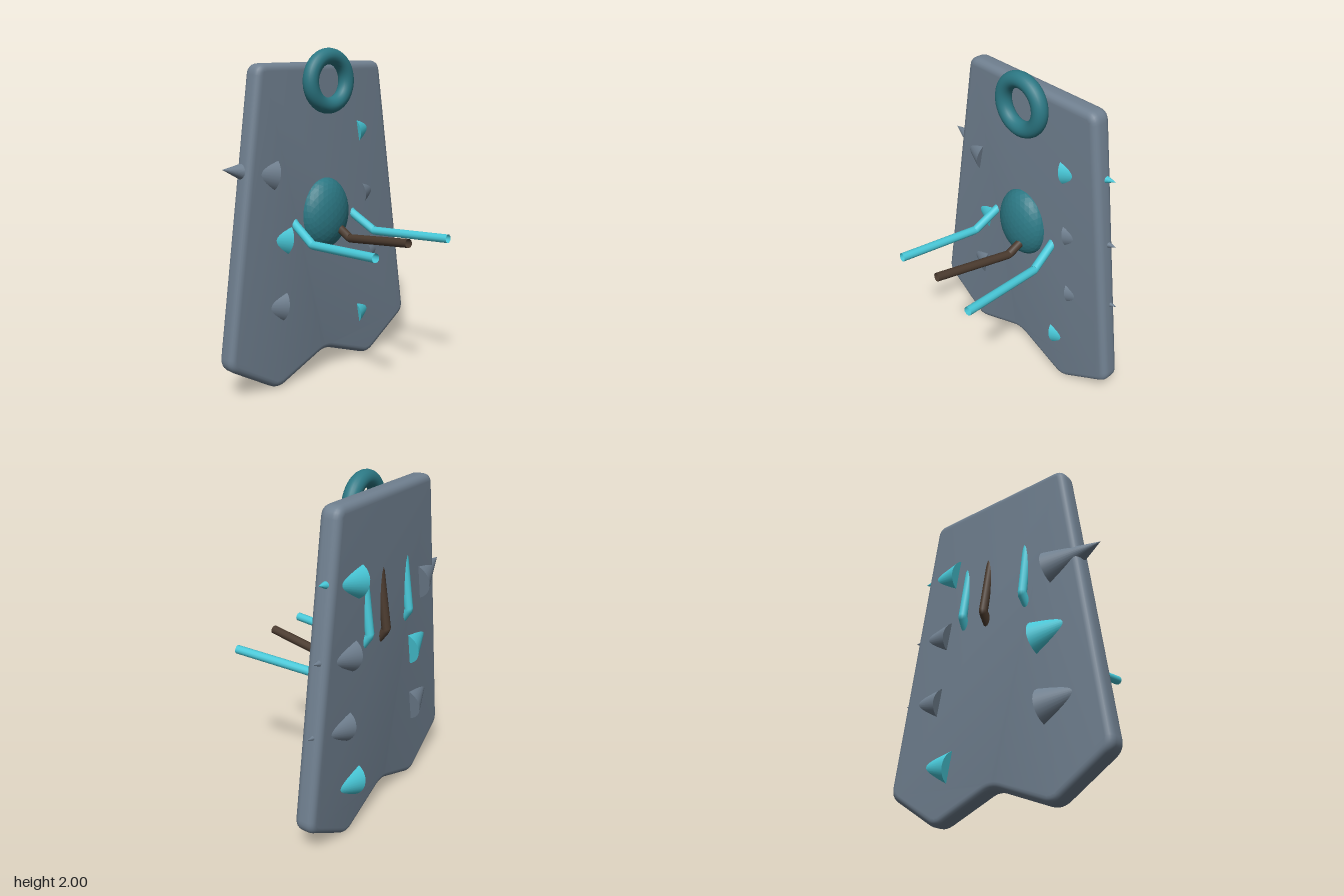
import * as THREE from 'three';
import { toCreasedNormals } from 'three/addons/utils/BufferGeometryUtils.js';

const mat = (color, extra = {}) => new THREE.MeshStandardMaterial({ color, ...extra });
const slate = mat(0x708090);
const darkTeal = mat(0x2c7884);
const facetedTeal = mat(0x2c7884, { flatShading: true });
const cyan = mat(0x48c8d8);
const cyanTube = mat(0x48c8d8, { side: THREE.DoubleSide });
const brownTube = mat(0x4a3a2e, { side: THREE.DoubleSide });

// Closed shape whose corners are softened by cutting back a distance c
function roundedShape(points, c) {
  const shape = new THREE.Shape();
  const v = points.map(p => new THREE.Vector2(...p));
  v.forEach((p, i) => {
    const prev = v[(i + v.length - 1) % v.length], next = v[(i + 1) % v.length];
    const a = p.clone().add(prev.clone().sub(p).setLength(c));
    const b = p.clone().add(next.clone().sub(p).setLength(c));
    if (i === 0) shape.moveTo(a.x, a.y); else shape.lineTo(a.x, a.y);
    shape.quadraticCurveTo(p.x, p.y, b.x, b.y);
  });
  shape.closePath();
  return shape;
}

export function createModel() {
  const group = new THREE.Group();
  const add = (name, geometry, material) => {
    const mesh = new THREE.Mesh(geometry, material);
    mesh.name = name;
    group.add(mesh);
    return mesh;
  };

  // Tapered plate with a notched lower edge
  const outline = [[-0.75, 0.215], [-0.39, -0.012], [0, 0.143], [0.39, -0.012],
    [0.75, 0.215], [0.485, 1.92], [-0.485, 1.92]];
  const bevel = 0.04;
  const plate = new THREE.ExtrudeGeometry(roundedShape(outline, 0.06), {
    depth: 0.12 - 2 * bevel, bevelEnabled: true, bevelSize: bevel, bevelThickness: bevel,
    bevelOffset: -bevel, bevelSegments: 5, curveSegments: 6,
  });
  plate.translate(0, 0, -0.38 + bevel);
  add('plate', toCreasedNormals(plate, 0.6), slate);

  // Ring at the top
  add('topRing', new THREE.TorusGeometry(0.142, 0.047, 20, 56), darkTeal)
    .position.set(0, 1.812, -0.22);

  // Faceted oval boss in the middle
  const boss = add('centreBoss', new THREE.IcosahedronGeometry(1, 5), facetedTeal);
  boss.scale.set(0.18, 0.22, 0.11);
  boss.position.set(0, 1.02, -0.27);

  // Spikes running outward through the plate: base x, y, radius, material
  const spikes = [
    [0.285, 1.497, 0.1, cyan], [0.337, 1.1, 0.096, slate],
    [0.388, 0.7, 0.094, slate], [0.288, 0.305, 0.1, cyan],
    [-0.378, 1.297, 0.113, slate], [-0.287, 0.9, 0.11, cyan], [-0.333, 0.503, 0.113, slate],
  ];
  const length = 0.325, tilt = 0.19;
  for (const [x, y, r, material] of spikes) {
    const side = Math.sign(x);
    const geometry = new THREE.ConeGeometry(r, length, 32).translate(0, length / 2, 0);
    const spike = add(side > 0 ? 'leftSpike' : 'rightSpike', geometry, material);
    spike.position.set(x, y, -0.335);
    spike.rotation.z = -side * (Math.PI / 2 - tilt);
  }

  // Bent tubes that pass through the plate and lean against its back
  function bentTube(name, points, material) {
    const path = new THREE.CurvePath();
    const v = points.map(p => new THREE.Vector3(...p));
    for (let i = 1; i < v.length; i++) path.add(new THREE.LineCurve3(v[i - 1], v[i]));
    add(name, new THREE.TubeGeometry(path, 90, 0.026, 12, false), material);
  }
  bentTube('leftTube', [[0.312, 0.925, 0.44], [0.265, 0.89, -0.1], [0.24, 0.985, -0.27],
    [0.217, 1.18, -0.4], [0.215, 1.52, -0.352]], cyanTube);
  bentTube('rightTube', [[-0.295, 0.93, 0.43], [-0.255, 0.895, -0.1], [-0.24, 0.99, -0.27],
    [-0.222, 1.18, -0.4], [-0.22, 1.52, -0.352]], cyanTube);
  bentTube('middleTube', [[0, 0.95, 0.405], [0.05, 0.88, -0.1], [0.058, 0.97, -0.27],
    [0.052, 1.16, -0.408], [0.05, 1.52, -0.352]], brownTube);

  return group;
}
